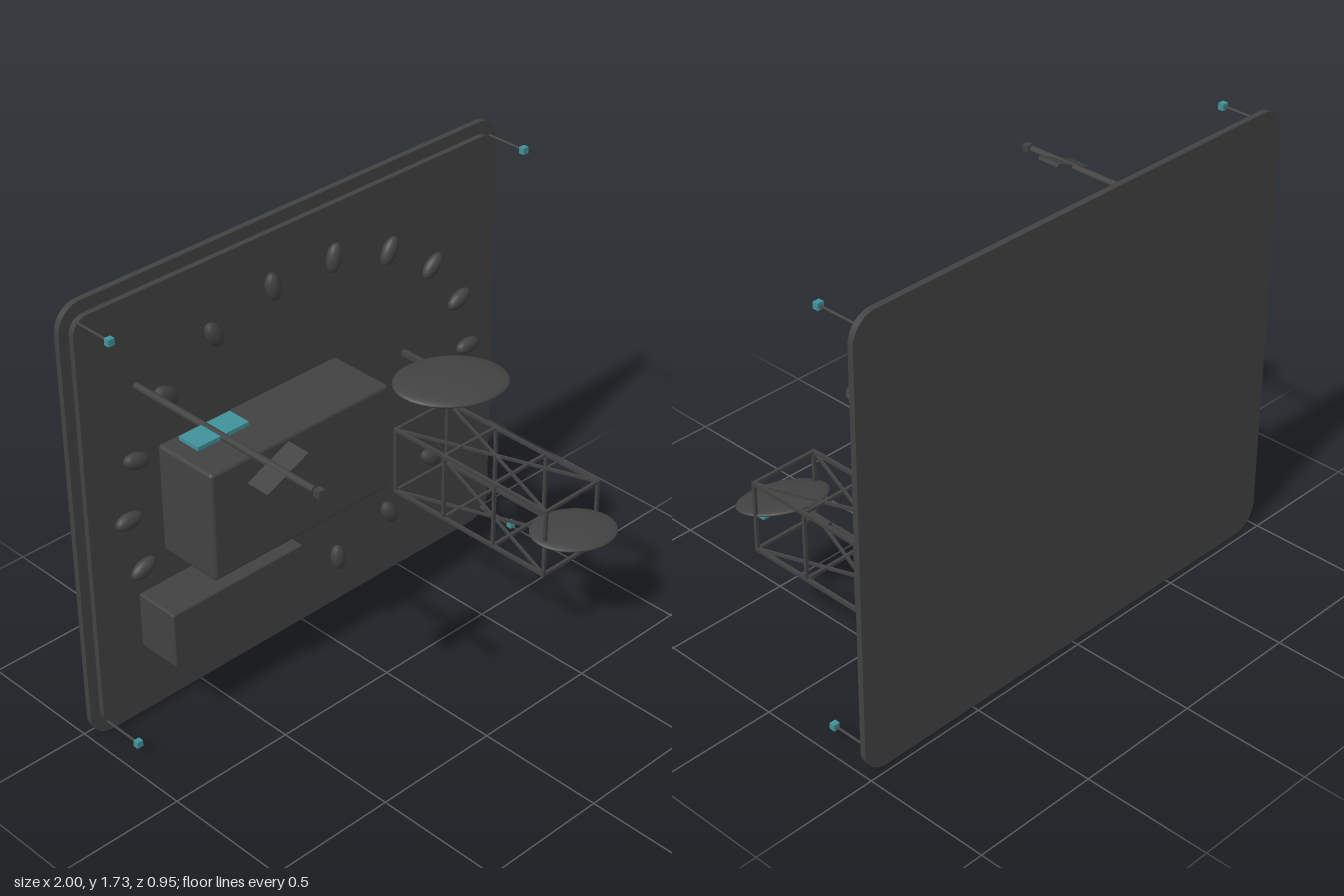
import * as THREE from 'three';
import { RoundedBoxGeometry } from 'three/addons/geometries/RoundedBoxGeometry.js';

const dark = new THREE.MeshStandardMaterial({ color: 0x424242 });
dark.name = 'charcoal';
const teal = new THREE.MeshStandardMaterial({ color: 0x40929a });
teal.name = 'teal';

export function createModel() {
  const model = new THREE.Group();
  model.name = 'wallPanelWithInstruments';

  const add = (name, geometry, material, x = 0, y = 0, z = 0, parent = model) => {
    const mesh = new THREE.Mesh(geometry, material);
    mesh.name = name;
    mesh.position.set(x, y, z);
    parent.add(mesh);
    return mesh;
  };
  const box = (name, mat, w, h, d, x, y, z, parent) =>
    add(name, new THREE.BoxGeometry(w, h, d), mat, x, y, z, parent);

  // rounded slab, facing +z, with its back at z
  const slab = (name, w, h, r, depth, z) => {
    const a = w / 2 - r, b = h / 2 - r, s = new THREE.Shape();
    s.absarc(a, b, r, 0, Math.PI / 2);
    s.absarc(-a, b, r, Math.PI / 2, Math.PI);
    s.absarc(-a, -b, r, Math.PI, Math.PI * 1.5);
    s.absarc(a, -b, r, Math.PI * 1.5, Math.PI * 2);
    const g = new THREE.ExtrudeGeometry(s, { depth, bevelEnabled: false, curveSegments: 8 });
    return add(name, g, dark, 0, 0.867, z);
  };
  slab('backPlate', 2, 1.734, 0.095, 0.023, -0.475);
  slab('raisedPlate', 1.92, 1.64, 0.06, 0.024, -0.454);

  // square bar between two points
  const bar = (name, p, q, size, parent) => {
    const a = new THREE.Vector3(...p), b = new THREE.Vector3(...q);
    const mid = a.clone().add(b).multiplyScalar(0.5);
    const mesh = box(name, dark, size, size, a.distanceTo(b), mid.x, mid.y, mid.z, parent);
    mesh.lookAt(b);
    return mesh;
  };

  // ring of oval studs
  for (let i = 0; i < 18; i++) {
    const t = (i / 18) * Math.PI * 2;
    const stud = add('ovalStud', new THREE.SphereGeometry(1, 16, 12), dark,
      0.815 * Math.cos(t), 0.87 + 0.64 * Math.sin(t), -0.4);
    stud.scale.set(0.056, 0.031, 0.025);
    stud.rotation.z = t;
  }

  // equipment housings
  add('largeHousing', new RoundedBoxGeometry(0.82, 0.43, 0.272, 3, 0.014), dark, -0.24, 0.87, -0.297);
  add('smallHousing', new RoundedBoxGeometry(0.6, 0.224, 0.182, 3, 0.008), dark, -0.47, 0.417, -0.342);

  // corner markers on thin posts
  for (const x of [-0.943, 0.943]) for (const y of [0.063, 1.677]) {
    const post = add('cornerPost', new THREE.CylinderGeometry(0.005, 0.005, 0.17, 8), dark, x, y, -0.35);
    post.rotation.x = Math.PI / 2;
    box('cornerMarker', teal, 0.025, 0.025, 0.022, x, y, -0.267);
  }

  // projecting mast with its panels
  const mast = new THREE.Group();
  mast.name = 'mast';
  mast.position.set(-0.725, 1.35, 0);
  model.add(mast);
  const pole = add('mastPole', new THREE.CylinderGeometry(0.013, 0.013, 0.85, 12), dark, 0, 0, -0.005, mast);
  pole.rotation.x = Math.PI / 2;
  box('mastTip', dark, 0.026, 0.026, 0.026, 0, 0, 0.442, mast);
  box('tealPanel', teal, 0.215, 0.014, 0.092, 0.002, 0, -0.046, mast);
  box('tiltedPanel', dark, 0.19, 0.014, 0.092, 0, 0, 0.26, mast).rotation.z = 0.41;

  // open truss boom
  const truss = new THREE.Group();
  truss.name = 'trussBoom';
  model.add(truss);
  const xs = [0.461, 0.735], ys = [0.375, 0.647], zs = [-0.42, -0.17, 0.08, 0.33];
  for (const y of ys) {
    for (const x of xs) bar('longeron', [x, y, -0.427], [x, y, 0.336], 0.013, truss);
    for (const z of zs) bar('crossBar', [xs[0], y, z], [xs[1], y, z], 0.012, truss);
    bar('diagonal', [xs[0], y, zs[0]], [xs[1], y, zs[3]], 0.01, truss);
    bar('diagonal', [xs[1], y, zs[0]], [xs[0], y, zs[3]], 0.01, truss);
  }
  for (const x of xs) for (const z of zs)
    bar('upright', [x, ys[0], z], [x, ys[1], z], 0.012, truss);

  // tilted oval dishes
  const dish = (name, x, y, z, a, b, t) => {
    const mesh = add(name, new THREE.SphereGeometry(1, 32, 20), dark, x, y, z);
    mesh.scale.set(a, t, b);
    mesh.rotation.set(0.13, -0.44, 0);
  };
  dish('largeDish', 0.37, 1.056, -0.055, 0.216, 0.146, 0.026);
  bar('largeDishArm', [0.37, 1.073, -0.295], [0.37, 1.073, -0.13], 0.019);
  box('largeDishPlate', teal, 0.145, 0.009, 0.09, 0.433, 1.01, -0.025);
  dish('smallDish', 0.595, 0.512, 0.347, 0.168, 0.117, 0.02);
  bar('smallDishArm', [0.595, 0.513, 0.11], [0.595, 0.513, 0.28], 0.018);
  box('smallDishPlate', teal, 0.1, 0.009, 0.075, 0.645, 0.475, 0.375);

  return model;
}
